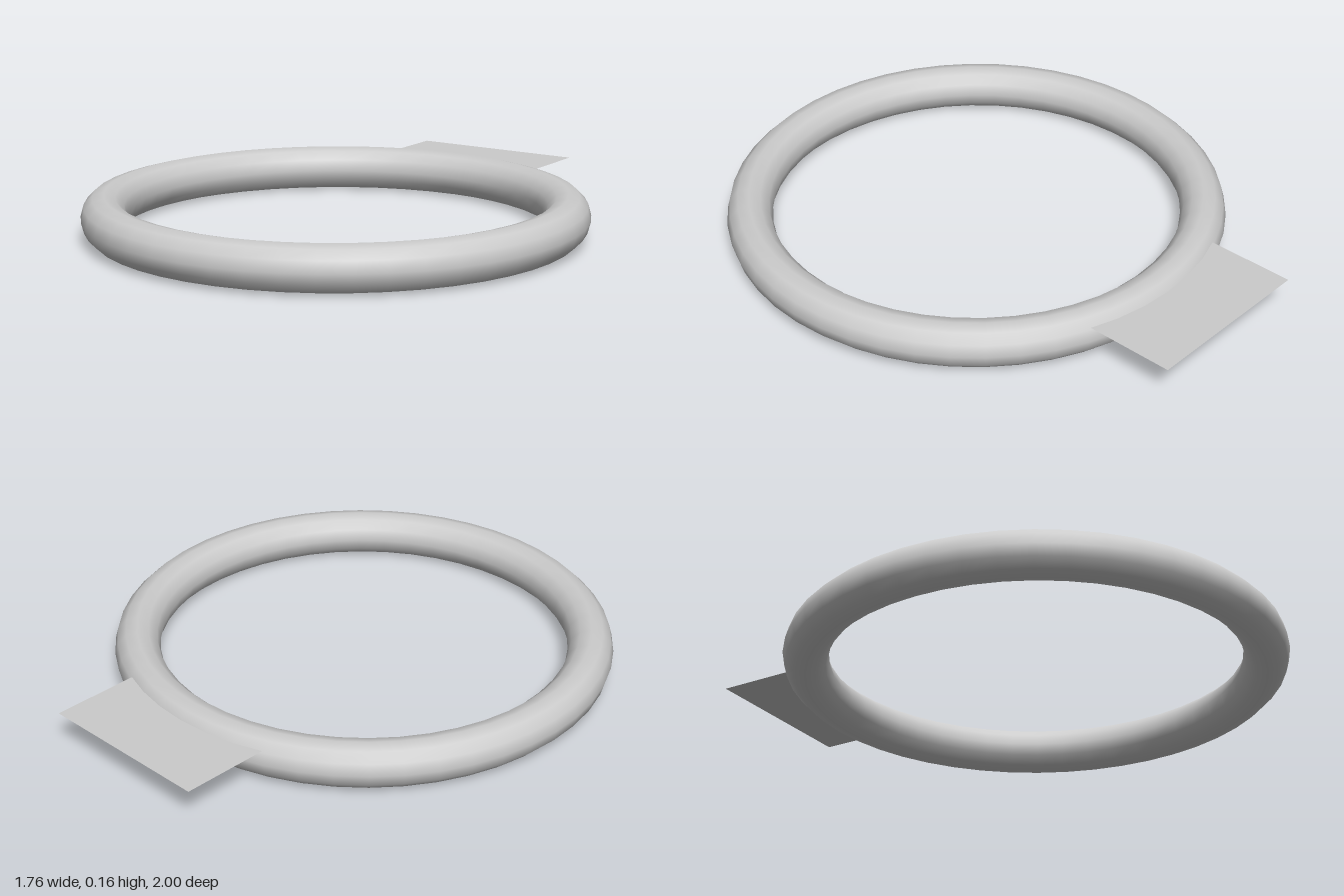
import * as THREE from 'three';

const RING_RADIUS = 0.8;
const TUBE_RADIUS = 0.08;
const RING_Z = 0.12;
const TAB = { width: 0.64, back: -1, front: -0.67, y: 0.124 };

export function createModel() {
  const model = new THREE.Group();
  const material = new THREE.MeshStandardMaterial({ color: 0xcccccc });

  // Round ring lying flat on the ground
  const ringGeometry = new THREE.TorusGeometry(RING_RADIUS, TUBE_RADIUS, 12, 48);
  ringGeometry.rotateX(-Math.PI / 2);
  const ring = new THREE.Mesh(ringGeometry, material);
  ring.name = 'ring';
  ring.position.set(0, TUBE_RADIUS, RING_Z);
  model.add(ring);

  // Thin flat tab at the back, its front edge buried in the ring
  const tabGeometry = new THREE.PlaneGeometry(TAB.width, TAB.front - TAB.back);
  tabGeometry.rotateX(-Math.PI / 2);
  const tabMaterial = material.clone();
  tabMaterial.side = THREE.DoubleSide;
  const tab = new THREE.Mesh(tabGeometry, tabMaterial);
  tab.name = 'backTab';
  tab.position.set(0, TAB.y, (TAB.front + TAB.back) / 2);
  model.add(tab);

  return model;
}
